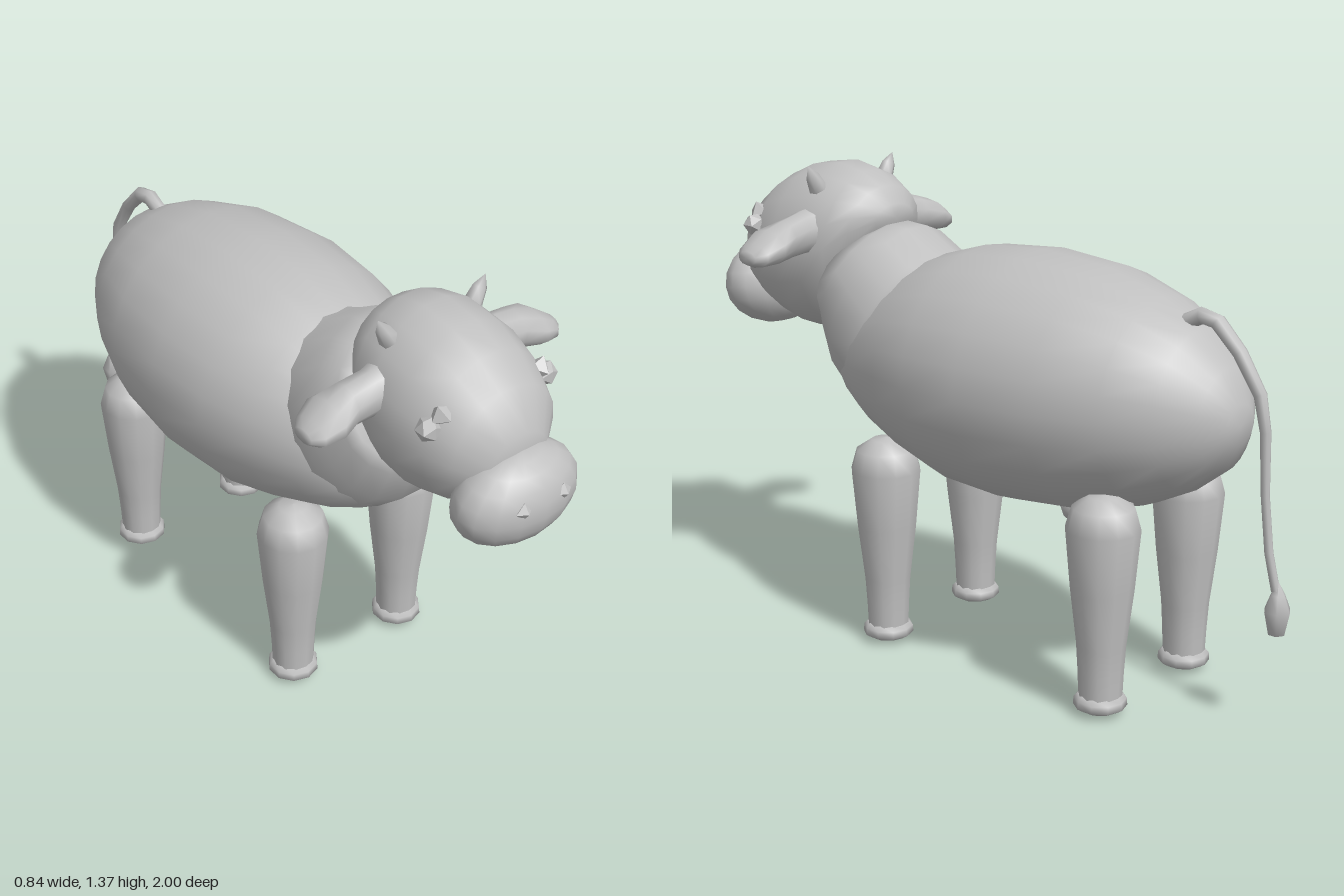
import * as THREE from 'three';
import { mergeVertices } from 'three/addons/utils/BufferGeometryUtils.js';

const V = (x, y, z) => new THREE.Vector3(x, y, z);

// Smooth skin through elliptical rings { c: centre, u, v: half axes }, u x v pointing along the path
function loft(rings, sides) {
  const pos = [], idx = [];
  for (const { c, u, v } of rings) {
    for (let j = 0; j < sides; j++) {
      const a = (j / sides) * Math.PI * 2;
      const p = c.clone().addScaledVector(u, Math.cos(a)).addScaledVector(v, Math.sin(a));
      pos.push(p.x, p.y, p.z);
    }
  }
  for (let i = 0; i < rings.length - 1; i++) {
    for (let j = 0; j < sides; j++) {
      const k = (j + 1) % sides;
      const a = i * sides + j, b = i * sides + k, c = a + sides, d = b + sides;
      idx.push(a, b, c, b, d, c);
    }
  }
  const geo = new THREE.BufferGeometry();
  geo.setAttribute('position', new THREE.Float32BufferAttribute(pos, 3));
  geo.setIndex(idx);
  const merged = mergeVertices(geo, 1e-5);
  merged.computeVertexNormals();
  return merged;
}

// Ring from its top point, bottom point (z, y each) and half width
const spineRing = ([zTop, yTop, zBot, yBot, w]) => ({
  c: V(0, (yTop + yBot) / 2, (zTop + zBot) / 2),
  u: V(w, 0, 0),
  v: V(0, (yTop - yBot) / 2, (zTop - zBot) / 2),
});

export function createModel() {
  const cow = new THREE.Group();
  cow.name = 'cow';
  const hide = new THREE.MeshStandardMaterial({ color: 0xc0c0c0 });
  hide.name = 'grey hide';

  const add = (name, geo, x = 0, y = 0, z = 0, parent = cow) => {
    const mesh = new THREE.Mesh(geo, hide);
    mesh.name = name;
    mesh.position.set(x, y, z);
    parent.add(mesh);
    return mesh;
  };

  // Barrel body
  add('body', loft([
    [-0.83, 0.82, -0.83, 0.82, 0],
    [-0.83, 0.88, -0.83, 0.77, 0.06],
    [-0.79, 0.97, -0.79, 0.69, 0.13],
    [-0.7, 1.06, -0.7, 0.62, 0.215],
    [-0.58, 1.125, -0.58, 0.56, 0.285],
    [-0.4, 1.18, -0.4, 0.51, 0.35],
    [-0.17, 1.2, -0.17, 0.49, 0.378],
    [0.03, 1.185, 0.03, 0.5, 0.36],
    [0.18, 1.14, 0.18, 0.54, 0.315],
    [0.32, 1.07, 0.32, 0.595, 0.26],
    [0.42, 1.0, 0.42, 0.65, 0.2],
    [0.5, 0.91, 0.5, 0.73, 0.1],
    [0.52, 0.82, 0.52, 0.82, 0],
  ].map(spineRing), 24));

  // Neck rising from the shoulders
  add('neck', loft([
    [0.05, 1.1, 0.25, 0.65, 0.2],
    [0.2, 1.15, 0.42, 0.645, 0.25],
    [0.29, 1.205, 0.51, 0.725, 0.235],
    [0.36, 1.21, 0.555, 0.84, 0.215],
    [0.43, 1.19, 0.56, 0.9, 0.2],
    [0.5, 1.05, 0.5, 1.05, 0],
  ].map(spineRing), 18));

  // Head
  const head = new THREE.Group();
  head.name = 'head';
  cow.add(head);
  add('skull', loft([
    [0.37, 1.22, 0.37, 1.22, 0],
    [0.375, 1.26, 0.385, 1.17, 0.08],
    [0.41, 1.31, 0.44, 1.07, 0.15],
    [0.47, 1.35, 0.5, 0.93, 0.195],
    [0.56, 1.37, 0.57, 0.87, 0.218],
    [0.67, 1.355, 0.66, 0.86, 0.222],
    [0.76, 1.315, 0.75, 0.885, 0.205],
    [0.84, 1.255, 0.82, 0.92, 0.17],
    [0.895, 1.15, 0.87, 0.95, 0.1],
    [0.9, 1.05, 0.9, 1.05, 0],
  ].map(spineRing), 18), 0, 0, 0, head);

  const muzzle = new THREE.SphereGeometry(1, 16, 10);
  muzzle.scale(0.19, 0.135, 0.118);
  add('muzzle', muzzle, 0, 0.97, 0.88, head).rotation.x = 0.12;

  const horn = loft([
    { c: V(0, -0.02, 0), u: V(0, 0, 0.026), v: V(0.028, 0, 0) },
    { c: V(0, 0.025, 0), u: V(0, 0, 0.02), v: V(0.02, 0, 0) },
    { c: V(0, 0.06, 0), u: V(0, 0, 0), v: V(0, 0, 0) },
  ], 6);
  const nostril = new THREE.OctahedronGeometry(0.026);
  nostril.scale(1, 1, 0.7);
  const eyeball = new THREE.IcosahedronGeometry(0.034);
  const brow = new THREE.OctahedronGeometry(0.034);

  for (const s of [1, -1]) {
    const side = s > 0 ? 'left' : 'right';
    // Ear sections: x, y centre, half height, z centre, half depth
    add(side + 'Ear', loft([
      [0.15, 1.18, 0.075, 0.56, 0.075],
      [0.21, 1.18, 0.062, 0.56, 0.055],
      [0.28, 1.172, 0.056, 0.555, 0.06],
      [0.34, 1.16, 0.05, 0.558, 0.08],
      [0.39, 1.143, 0.034, 0.56, 0.062],
      [0.415, 1.14, 0.02, 0.56, 0.035],
      [0.418, 1.14, 0, 0.56, 0],
    ].map(([x, y, h, z, d]) => ({ c: V(s * x, y, z), u: V(0, s * h, 0), v: V(0, 0, d) })), 10),
    0, 0, 0, head);
    add(side + 'Horn', horn, s * 0.148, 1.32, 0.55, head).rotation.z = -s * 0.5;
    add(side + 'Eye', eyeball, s * 0.194, 1.18, 0.765, head);
    add(side + 'Brow', brow, s * 0.162, 1.213, 0.775, head).rotation.z = -s * 0.4;
    add(side + 'Nostril', nostril, s * 0.066, 1.0, 0.983, head);
  }

  // Legs with flared hooves
  const pts = (list) => list.map(([r, y]) => new THREE.Vector2(r, y));
  const legGeo = new THREE.LatheGeometry(pts([
    [0.06, 0.045], [0.063, 0.12], [0.068, 0.2], [0.087, 0.36],
    [0.102, 0.53], [0.085, 0.59], [0.04, 0.62], [0, 0.625],
  ]), 12);
  const hoofGeo = new THREE.LatheGeometry(pts([
    [0, 0], [0.055, 0.013], [0.074, 0.025], [0.072, 0.045], [0.058, 0.06], [0, 0.062],
  ]), 10);
  for (const [end, z] of [['front', 0.245], ['back', -0.54]]) {
    for (const x of [0.195, -0.2]) {
      const leg = new THREE.Group();
      leg.name = end + (x > 0 ? 'Left' : 'Right') + 'Leg';
      leg.position.set(x, 0, z);
      cow.add(leg);
      add('shank', legGeo, 0, 0, 0, leg);
      add('hoof', hoofGeo, 0, 0, 0, leg);
    }
  }

  // Udder and teats
  const udder = new THREE.SphereGeometry(1, 12, 8);
  udder.scale(0.1, 0.06, 0.1);
  add('udder', udder, 0, 0.505, -0.365);
  const teat = new THREE.SphereGeometry(1, 8, 6);
  teat.scale(0.015, 0.025, 0.013);
  for (const x of [0.05, -0.05]) for (const z of [-0.34, -0.43]) add('teat', teat, x, 0.452, z);

  // Tail: z, y, radius along its path
  const path = [
    [-0.65, 1.07, 0.022], [-0.7, 1.095, 0.023], [-0.75, 1.085, 0.022], [-0.82, 1.015, 0.02],
    [-0.885, 0.915, 0.018], [-0.905, 0.82, 0.015], [-0.912, 0.65, 0.012],
    [-0.93, 0.5, 0.012], [-0.955, 0.4, 0.012],
  ];
  add('tail', loft(path.map(([z, y, r], i) => {
    const a = path[Math.max(i - 1, 0)], b = path[Math.min(i + 1, path.length - 1)];
    const d = V(0, b[1] - a[1], b[0] - a[0]).normalize();
    return { c: V(0, y, z), u: V(r, 0, 0), v: V(0, d.z * r, -d.y * r) };
  }), 8));
  const tuft = new THREE.LatheGeometry(pts([
    [0, -0.075], [0.024, -0.065], [0.038, 0], [0.02, 0.045], [0, 0.08],
  ]), 6);
  add('tailTuft', tuft, -0.005, 0.345, -0.96);

  return cow;
}
